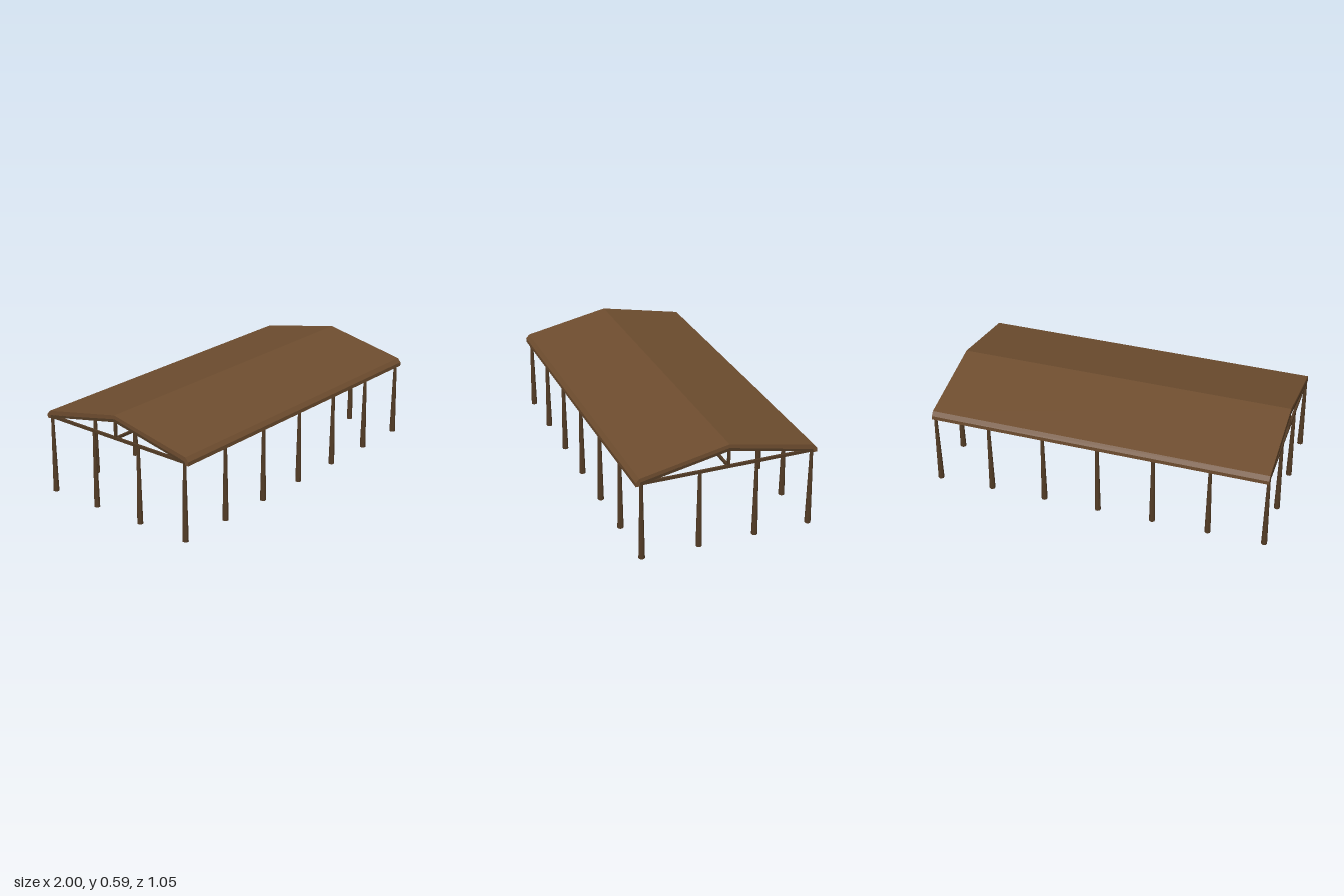
import * as THREE from 'three';

const wood = new THREE.MeshStandardMaterial({ color: 0x523b25, flatShading: true });
const cover = new THREE.MeshStandardMaterial({ color: 0x6e4d2f, flatShading: true });

// Extrudes a (z, y) outline along x, centred on x = 0
function alongX(points, length) {
  const shape = new THREE.Shape(points.map(([z, y]) => new THREE.Vector2(-z, y)));
  const geo = new THREE.ExtrudeGeometry(shape, { depth: length, bevelEnabled: false });
  return geo.translate(0, 0, -length / 2).rotateY(Math.PI / 2);
}

function add(parent, name, geo, mat, x = 0, y = 0, z = 0) {
  const mesh = new THREE.Mesh(geo, mat);
  mesh.name = name;
  mesh.position.set(x, y, z);
  parent.add(mesh);
  return mesh;
}

export function createModel() {
  const model = new THREE.Group();
  model.name = 'openPavilion';
  const endX = 0.983, sideZ = 0.493, frames = 7, tieY = 0.456;
  const frameX = (i) => -endX + (i * 2 * endX) / (frames - 1);

  // Gabled roof shell with a chamfered, turned-down eave
  const half = [[0.505, 0.488], [0.525, 0.465], [0.525, 0.443], [0.503, 0.443], [0.5, 0.462]];
  const mirror = half.map(([z, y]) => [-z, y]).reverse();
  add(model, 'roof', alongX([[0, 0.59], ...half, [0, 0.568], ...mirror], 1.98), cover);

  // Tapered posts: a row on each long side and two more in each gable end
  const postGeo = new THREE.CylinderGeometry(0.0092, 0.0175, 0.45, 8);
  postGeo.rotateY(Math.PI / 8).translate(0, 0.225, 0);
  const posts = new THREE.Group();
  posts.name = 'posts';
  model.add(posts);
  for (let i = 0; i < frames; i++) {
    for (const s of [-1, 1]) add(posts, 'sidePost', postGeo, wood, frameX(i), 0, s * sideZ);
  }
  for (const x of [-endX, endX]) {
    for (const z of [-sideZ / 3, sideZ / 3]) add(posts, 'gablePost', postGeo, wood, x, 0, z);
  }

  // Trusses: tie beam, king post and a pair of rafters
  const tieGeo = new THREE.BoxGeometry(0.014, 0.016, 1.0);
  const kingGeo = new THREE.BoxGeometry(0.014, 0.1, 0.014);
  const rafterGeo = alongX([
    [0, 0.57], [0.5, 0.466], [0.5, 0.45], [0, 0.551], [-0.5, 0.45], [-0.5, 0.466],
  ], 0.014);
  for (let i = 0; i < frames; i++) {
    const truss = new THREE.Group();
    truss.name = 'truss';
    truss.position.x = frameX(i);
    add(truss, 'tieBeam', tieGeo, wood, 0, tieY, 0);
    add(truss, 'kingPost', kingGeo, wood, 0, 0.51, 0);
    add(truss, 'rafters', rafterGeo, wood);
    model.add(truss);
  }

  // Long beams joining the trusses
  const beamGeo = new THREE.BoxGeometry(2 * endX, 0.014, 0.014);
  add(model, 'centreBeam', beamGeo, wood, 0, tieY, 0);
  for (const s of [-1, 1]) add(model, 'eaveBeam', beamGeo, wood, 0, tieY, s * sideZ);

  return model;
}
